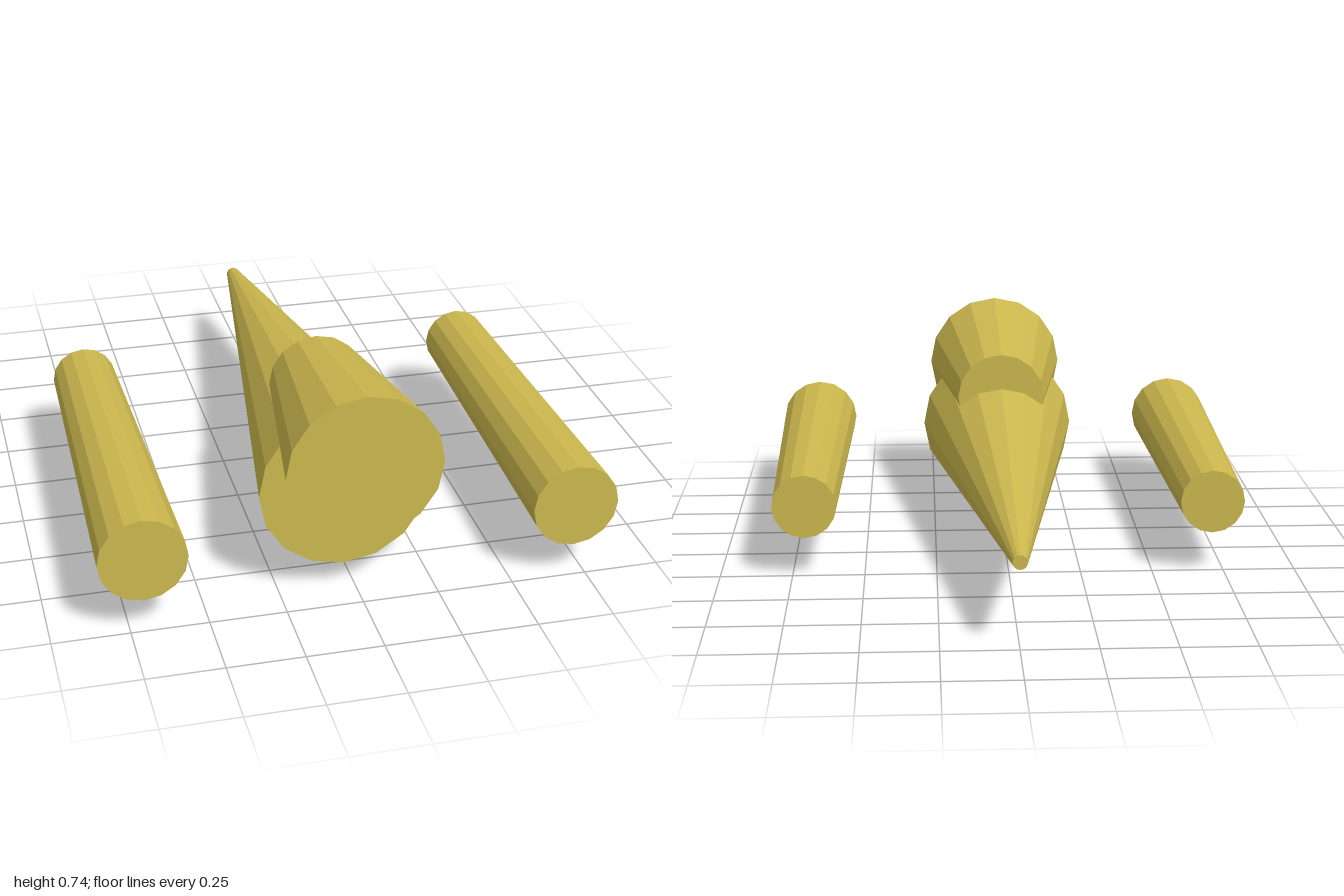
import * as THREE from 'three';

export function createModel() {
  const model = new THREE.Group();
  const gold = new THREE.MeshStandardMaterial({ color: 0xccb84e, flatShading: true });
  gold.name = 'gold';

  // Capped 16-sided taper lying along z, from its front end to its back end
  function taper(name, x, y, zFront, zBack, rFront, rBack) {
    const geometry = new THREE.CylinderGeometry(rFront, rBack, zFront - zBack, 16);
    geometry.rotateX(Math.PI / 2);
    const mesh = new THREE.Mesh(geometry, gold);
    mesh.name = name;
    mesh.position.set(x, y, (zFront + zBack) / 2);
    model.add(mesh);
  }

  // Long body narrowing to a small blunt tip at the back
  taper('body', 0, 0.286, 0.76, -1, 0.286, 0.024);

  // Wider upper cone overlapping the body
  taper('upperCone', 0, 0.482, 1, 0.36, 0.255, 0.16);

  // Mirrored side pods
  for (const side of [1, -1]) {
    taper(side > 0 ? 'leftPod' : 'rightPod', side * 0.704, 0.257, 1, -0.28, 0.143, 0.111);
  }

  return model;
}
